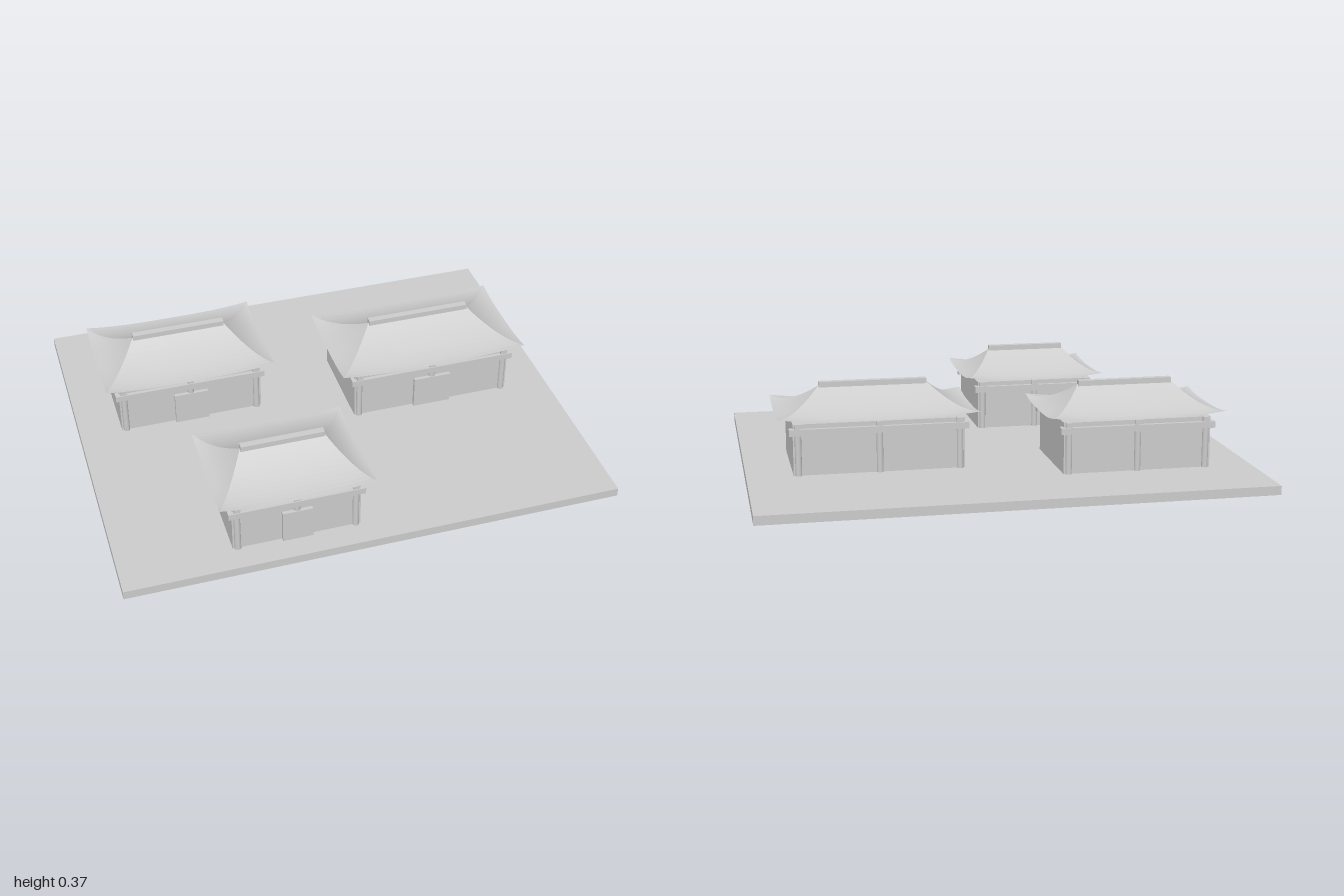
import * as THREE from 'three';

const stone = new THREE.MeshStandardMaterial({ color: 0xcccccc });
stone.name = 'pale grey';
stone.side = THREE.DoubleSide;

const GROUND = 0.036, WALL_TOP = 0.242, EAVE = 0.252, RIDGE = 0.352, LIFT = 0.018;
const ROOF_DEPTH = 0.235, WALL_DEPTH = 0.2;

function add(parent, name, geometry, x, y, z) {
  const mesh = new THREE.Mesh(geometry, stone);
  mesh.name = name;
  mesh.position.set(x, y, z);
  parent.add(mesh);
  return mesh;
}

// Box given by its bottom and top heights
function block(parent, name, w, y0, y1, d, x, z) {
  return add(parent, name, new THREE.BoxGeometry(w, y1 - y0, d), x, (y0 + y1) / 2, z);
}

// One concave roof slope facing +z: eave half-width, ridge half-width, run from ridge to eave
function slope(eaveHalf, ridgeHalf, run) {
  const nu = 20, nv = 12, pos = [], index = [];
  for (let j = 0; j <= nv; j++) {
    const t = j / nv;
    const half = ridgeHalf + (eaveHalf - ridgeHalf) * t;
    for (let i = 0; i <= nu; i++) {
      const s = (i / nu) * 2 - 1;
      const y = EAVE + (RIDGE - EAVE) * Math.pow(1 - t, 1.7) + LIFT * t ** 3 * Math.abs(s) ** 3;
      pos.push(s * half, y, t * run);
    }
  }
  const row = nu + 1;
  for (let j = 0; j < nv; j++) {
    for (let i = 0; i < nu; i++) {
      const a = j * row + i, b = a + 1, c = a + row, d = c + 1;
      index.push(a, c, d);
      if (j > 0 || ridgeHalf > 0) index.push(a, d, b);
    }
  }
  const g = new THREE.BufferGeometry();
  g.setAttribute('position', new THREE.Float32BufferAttribute(pos, 3));
  g.setIndex(index);
  const flat = g.toNonIndexed();
  flat.computeVertexNormals();
  return flat;
}

function createHall(name, x, z, roofHalf) {
  const hall = new THREE.Group();
  hall.name = name;
  hall.position.set(x, 0, z);
  const wallHalf = roofHalf - 0.055 + (roofHalf - 0.355) * -0.1;

  // Walls and door
  block(hall, 'walls', wallHalf * 2, GROUND, WALL_TOP, WALL_DEPTH * 2, 0, 0);
  block(hall, 'door', wallHalf * 0.47, GROUND, 0.174, 0.02, 0, WALL_DEPTH + 0.005);

  // Columns, beams and brackets on the front and back
  for (const side of [1, -1]) {
    const zFace = side * WALL_DEPTH;
    block(hall, 'beam', wallHalf * 2 + 0.03, 0.198, 0.224, 0.032, 0, zFace);
    for (const k of [-1, 0, 1]) {
      const cx = k * (wallHalf - 0.02);
      const h = 0.2 - GROUND;
      add(hall, 'column', new THREE.CylinderGeometry(0.013, 0.013, h, 12), cx, GROUND + h / 2, zFace);
      block(hall, 'bracket', 0.027, 0.224, 0.243, 0.024, cx, zFace);
    }
  }

  // Hipped roof with upturned corners
  const ridgeHalf = roofHalf * 0.545;
  for (const k of [0, 1]) {
    add(hall, 'longRoofSlope', slope(roofHalf, ridgeHalf, ROOF_DEPTH), 0, 0, 0).rotation.y = k * Math.PI;
    const sign = k ? -1 : 1;
    const end = add(hall, 'endRoofSlope', slope(ROOF_DEPTH, 0, roofHalf - ridgeHalf), sign * ridgeHalf, 0, 0);
    end.rotation.y = sign * Math.PI / 2;
  }
  block(hall, 'ridgeBeam', ridgeHalf * 2, 0.345, 0.367, 0.028, 0, 0);
  return hall;
}

export function createModel() {
  const model = new THREE.Group();
  model.name = 'courtyard';
  block(model, 'groundSlab', 2, 0, GROUND, 1.656, 0, 0);
  model.add(
    createHall('backHall', -0.525, -0.3, 0.355),
    createHall('sideHall', 0.475, -0.12, 0.4),
    createHall('frontHall', -0.3, 0.52, 0.305),
  );
  return model;
}
